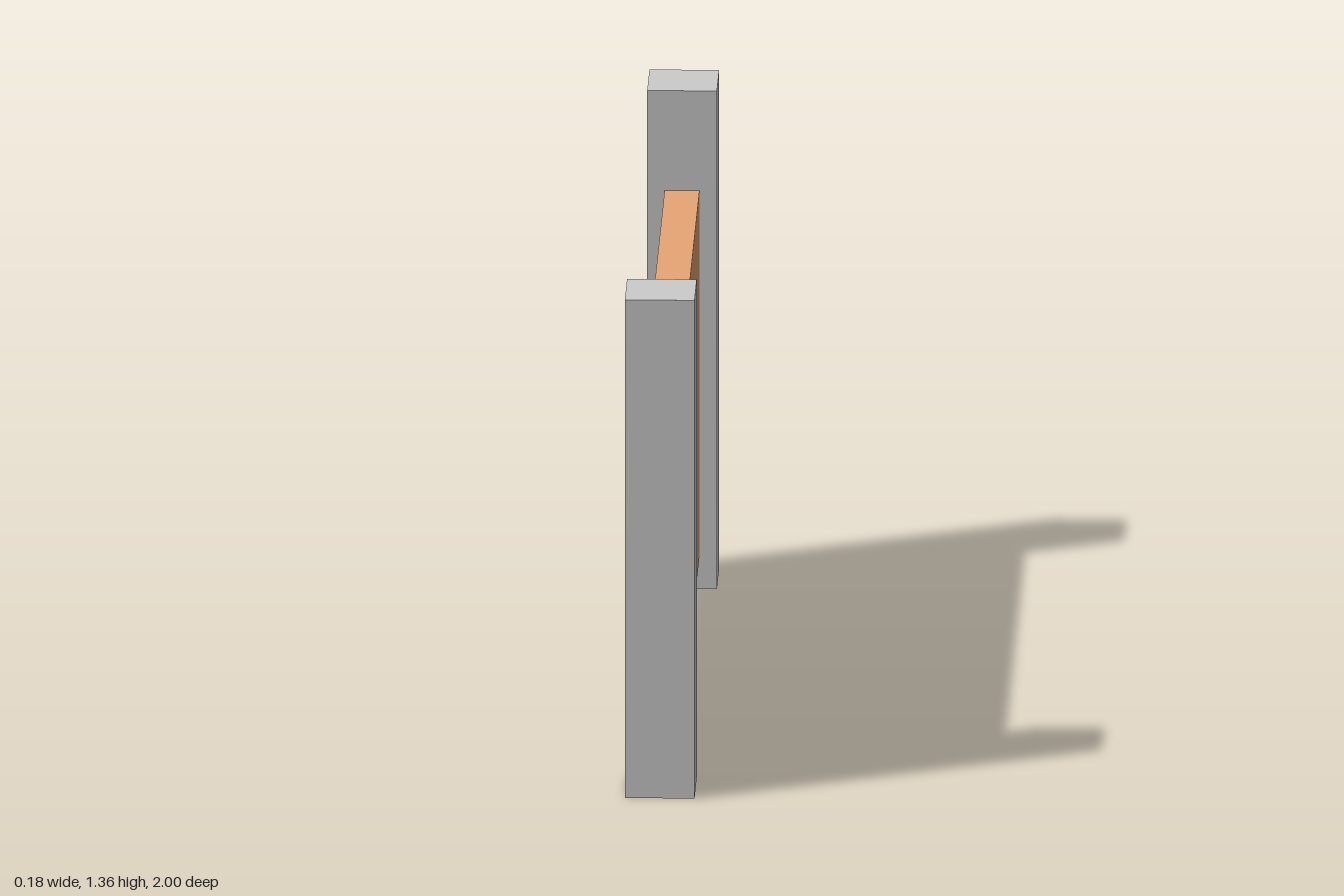
import * as THREE from 'three';

const POST = { width: 0.182, height: 1.364 };
const PANEL = { thickness: 0.091, height: 1.0, bottom: 0.091 };

export function createModel() {
  const group = new THREE.Group();
  group.name = 'fenceSection';

  const stone = new THREE.MeshStandardMaterial({ color: 0xcccccc, flatShading: true });
  const wood = new THREE.MeshStandardMaterial({ color: 0xe8a674, flatShading: true });

  function addBox(name, material, width, height, depth, bottom, z) {
    const mesh = new THREE.Mesh(new THREE.BoxGeometry(width, height, depth), material);
    mesh.name = name;
    mesh.position.set(0, bottom + height / 2, z);
    group.add(mesh);
  }

  // Square posts at both ends
  const postZ = 1 - POST.width / 2;
  addBox('frontPost', stone, POST.width, POST.height, POST.width, 0, postZ);
  addBox('backPost', stone, POST.width, POST.height, POST.width, 0, -postZ);

  // Raised panel spanning the gap between the posts
  const span = 2 - 2 * POST.width;
  addBox('panel', wood, PANEL.thickness, PANEL.height, span, PANEL.bottom, 0);

  return group;
}
